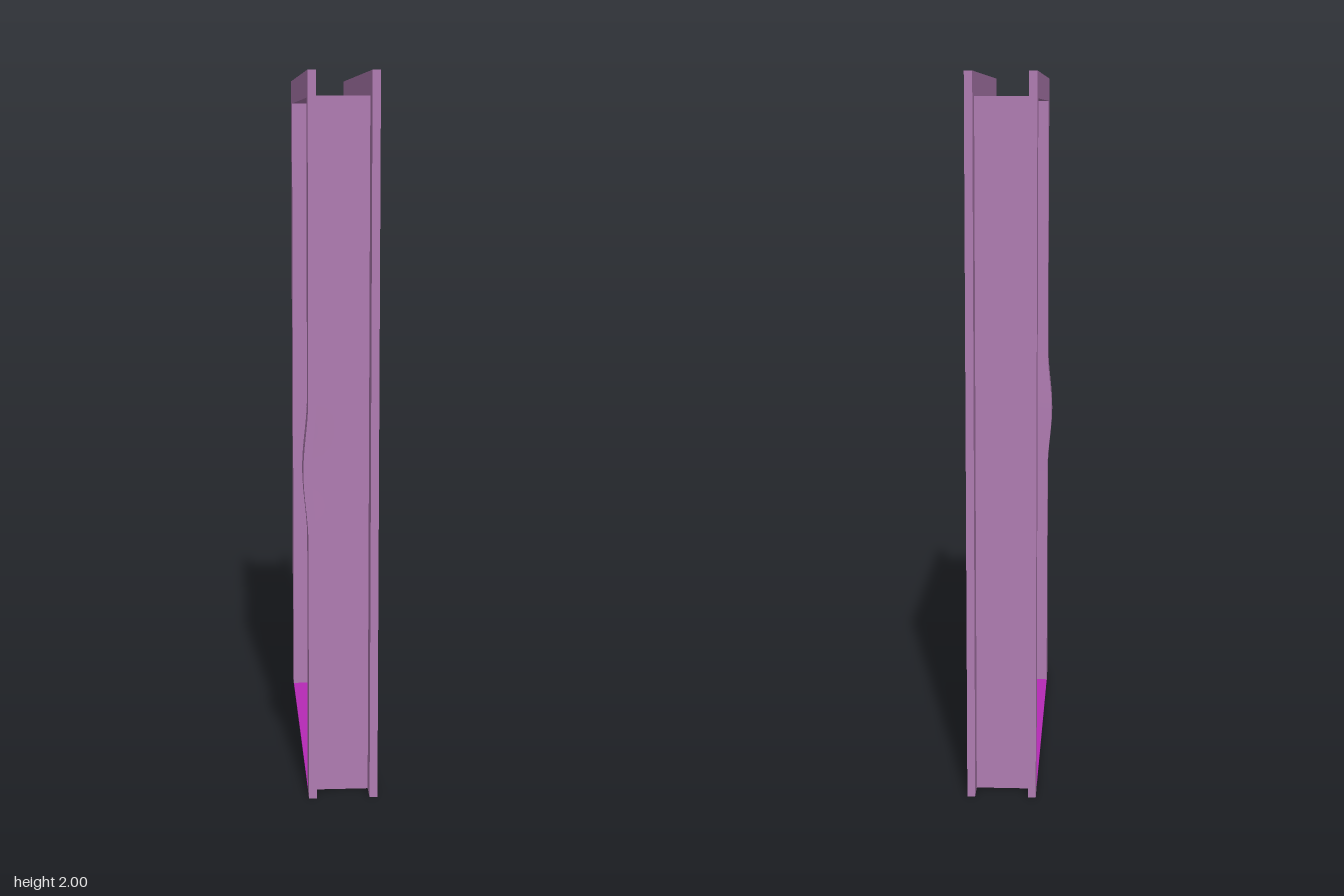
import * as THREE from 'three';

const X0 = -0.09, X1 = 0.102;        // frame depth
const IN = 0.457, OUT = 0.528;       // half widths of opening and trim
const LINING = 0.006, BOARD = 0.022; // lining and trim thickness
const HEAD = 1.929, TOP = 2;

const paint = new THREE.MeshStandardMaterial({ color: 0xb07cb2 });
const sillPaint = new THREE.MeshStandardMaterial({ color: 0xb62ab6 });
const sealPaint = new THREE.MeshStandardMaterial({ color: 0x5a4a28 });
const stopPaint = new THREE.MeshStandardMaterial({ color: 0xc8643c });

// Box given by its corner limits
function block(name, [x0, x1], [y0, y1], [z0, z1], material, sx = 1, sy = 1) {
  const geo = new THREE.BoxGeometry(x1 - x0, y1 - y0, z1 - z0, sx, sy, 1);
  geo.translate((x0 + x1) / 2, (y0 + y1) / 2, (z0 + z1) / 2);
  const mesh = new THREE.Mesh(geo, material);
  mesh.name = name;
  return mesh;
}

// Push the latch side of a post outwards in a soft bulge
function bulge(mesh) {
  const p = mesh.geometry.attributes.position;
  for (let i = 0; i < p.count; i++) {
    const t = Math.min(1, Math.abs(p.getY(i) - 0.93) / 0.2);
    const swell = (1 + Math.cos(Math.PI * t)) / 2;
    const side = THREE.MathUtils.clamp(-p.getX(i) / 0.068, 0, 1);
    p.setX(i, p.getX(i) - 0.0135 * swell * side);
    p.setZ(i, p.getZ(i) - (p.getZ(i) < 0.48 ? 0.002 * swell * side : 0));
  }
  mesh.geometry.computeVertexNormals();
}

// Two posts and a head forming an upside-down U
function surround(name, xr, inner, outer, y0, y1, material, bent) {
  const g = new THREE.Group();
  g.name = name;
  const latchPost = block(name + 'LatchPost', xr, [0, y1], [inner, outer], material, 4, bent ? 80 : 1);
  if (bent) bulge(latchPost);
  g.add(
    latchPost,
    block(name + 'HingePost', xr, [0, y1], [-outer, -inner], material),
    block(name + 'Head', xr, [y0, y1], [-inner, inner], material)
  );
  return g;
}

export function createModel() {
  const model = new THREE.Group();
  model.name = 'doorFrame';

  // Thin lining of the opening
  model.add(surround('lining', [X0, X1], IN, IN + LINING, HEAD, HEAD + LINING, paint, true));

  // Trim boards on both faces of the wall
  const trimIn = IN + LINING, trimHead = HEAD + LINING;
  model.add(surround('latchTrim', [X0, X0 + BOARD], trimIn, OUT, trimHead, TOP, paint, true));
  model.add(surround('hingeTrim', [X1 - BOARD, X1], trimIn, OUT, trimHead, TOP, paint, false));

  // Narrow seal strip round the middle of the lining
  model.add(surround('seal', [0.002, 0.01], IN - 0.002, IN, HEAD - 0.002, HEAD, sealPaint, false));

  // Flat sill with a small floor stop
  model.add(block('sill', [X0, X1], [0, 0.008], [-IN, IN], sillPaint));
  const stop = new THREE.Mesh(new THREE.CylinderGeometry(0.018, 0.018, 0.005, 16), stopPaint);
  stop.name = 'floorStop';
  stop.position.set(0.006, 0.0105, -0.43);
  model.add(stop);

  return model;
}
